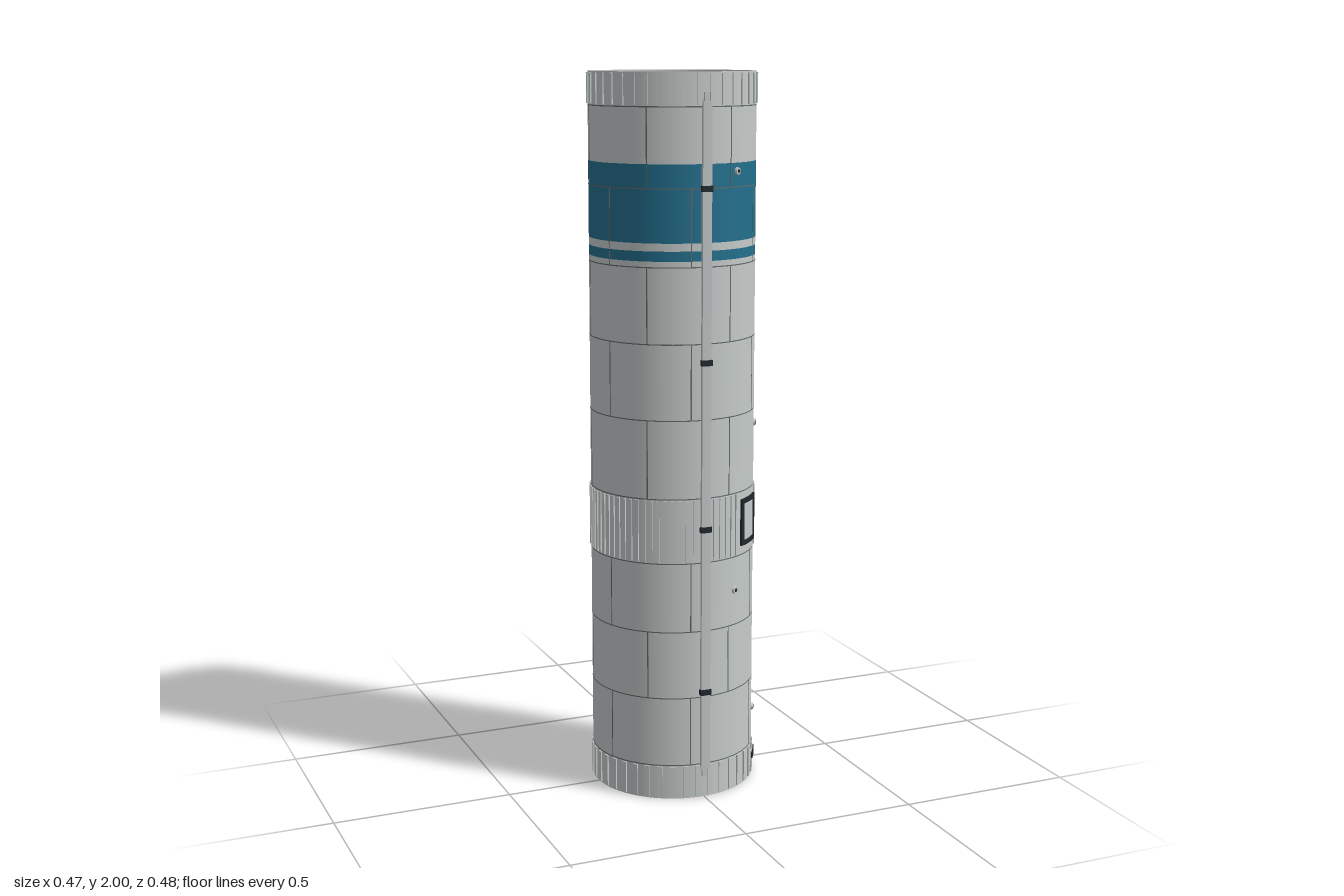
import * as THREE from 'three';
import { mergeGeometries } from 'three/addons/utils/BufferGeometryUtils.js';

const R = 0.229, INNER = 0.222, TANK = 0.2155, SEG = 96;

function material(name, color, side = THREE.FrontSide) {
  const m = new THREE.MeshStandardMaterial({ color, side });
  m.name = name;
  return m;
}

// Surface of revolution through [radius, height] points
function turned(points, seg = SEG) {
  return new THREE.LatheGeometry(points.map(([x, y]) => new THREE.Vector2(x, y)), seg);
}

// Box wrapped round the hull: angle in degrees from the front towards +x
function wrapped(deg, width, y0, y1, r0, r1, segs = 1) {
  const g = new THREE.BoxGeometry(width, y1 - y0, r1 - r0, segs, 1, 1);
  const p = g.attributes.position;
  for (let i = 0; i < p.count; i++) {
    const a = THREE.MathUtils.degToRad(deg) + p.getX(i) / R;
    const r = (r0 + r1) / 2 + p.getZ(i);
    p.setXYZ(i, Math.sin(a) * r, (y0 + y1) / 2 + p.getY(i), Math.cos(a) * r);
  }
  g.computeVertexNormals();
  return g;
}

export function createModel() {
  const model = new THREE.Group();
  model.name = 'rocketStage';
  const body = new THREE.Group();
  body.name = 'stageBody';
  body.position.z = -0.006;
  model.add(body);

  const grey = material('hullGrey', 0xc6cccb);
  const blue = material('bandBlue', 0x23708e);
  const seamGrey = material('seamGrey', 0x646b6c);
  const dark = material('fittingDark', 0x20272d);
  const pale = material('conduitGrey', 0xc0c5c5);

  const add = (name, geometry, mat) => {
    const mesh = new THREE.Mesh(geometry, mat);
    mesh.name = name;
    body.add(mesh);
    return mesh;
  };

  // Outer hull in painted rings
  const paint = [
    [0, 1.507, grey], [1.507, 1.534, blue], [1.534, 1.555, grey],
    [1.555, 1.762, blue], [1.762, 2, grey],
  ];
  for (const [y0, y1, mat] of paint) {
    add(mat === blue ? 'blueBand' : 'hullRing', turned([[R, y0], [R, y1]]), mat);
  }

  // Inner wall and the two end rims
  add('innerWall', turned([[INNER, 2], [INNER, 0]]), grey);
  add('topRim', turned([[R, 2], [INNER, 2]]), grey);
  add('bottomRim', turned([[INNER, 0], [R, 0]]), grey);

  // Propellant tank with a dome at both ends
  const domeTop = 1.98, domeHeight = 0.14;
  const dome = [];
  for (let i = 0; i <= 20; i++) {
    const a = (i / 20) * Math.PI / 2;
    dome.push([TANK * Math.cos(a), domeTop - domeHeight + domeHeight * Math.sin(a)]);
  }
  const bottomDome = dome.map(([r, y]) => [r, 2 - y]).reverse();
  add('tank', turned([...bottomDome, ...dome]), grey);
  for (const top of [true, false]) {
    const cap = add('domeCap', new THREE.CylinderGeometry(0.034, 0.034, 0.014, 40), grey);
    cap.position.y = top ? 1.982 : 0.018;
    const ringY = domeTop - domeHeight * (1 - Math.sqrt(1 - (0.133 / TANK) ** 2));
    const ring = add('domeSeam', new THREE.TorusGeometry(0.133, 0.001, 6, 72), seamGrey);
    ring.rotation.x = Math.PI / 2;
    ring.position.y = top ? ringY : 2 - ringY;
  }

  // Horizontal seams between hull courses
  const levels = [0.098, 0.294, 0.485, 0.68, 0.861, 1.078, 1.285, 1.491, 1.698, 1.91];
  const seams = levels.map((y) => turned([[R + 0.0005, y - 0.0015], [R + 0.0005, y + 0.0015]]));
  add('ringSeams', mergeGeometries(seams), seamGrey);

  // Staggered vertical seams, six to a course
  const uprights = [];
  levels.slice(0, -1).forEach((y, i) => {
    if (y === 0.68) return;
    const start = [1, 0, 1, 0, 0, 1, 0, 1, 0][i] ? 50 : 20;
    for (let k = 0; k < 6; k++) {
      uprights.push(wrapped(start + k * 60, 0.003, y, levels[i + 1], R - 0.002, R + 0.0006));
    }
  });
  add('panelSeams', mergeGeometries(uprights), seamGrey);

  // Stiffening ribs on the end skirts and the middle band
  const ribs = (name, count, width, y0, y1, skip) => {
    const list = [];
    for (let k = 0; k < count; k++) {
      const deg = ((k + 0.5) / count) * 360;
      if (!skip || Math.abs(deg - 45) > 14) {
        list.push(wrapped(deg, width, y0, y1, R - 0.002, R + 0.004));
      }
    }
    add(name, mergeGeometries(list), grey);
  };
  ribs('bottomSkirtRibs', 40, 0.014, 0.004, 0.094);
  ribs('middleRibs', 72, 0.009, 0.684, 0.857, true);
  ribs('topSkirtRibs', 40, 0.014, 1.914, 1.996);

  // Access hatch with a dark frame
  const half = THREE.MathUtils.radToDeg(0.043 / R);
  add('hatchPanel', wrapped(45, 0.08, 0.715, 0.83, R - 0.002, R + 0.003, 8), grey);
  add('hatchFrame', mergeGeometries([
    wrapped(45 - half, 0.013, 0.706, 0.838, R - 0.002, R + 0.006),
    wrapped(45 + half, 0.013, 0.706, 0.838, R - 0.002, R + 0.006),
    wrapped(45, 0.086, 0.706, 0.719, R - 0.002, R + 0.006, 8),
    wrapped(45, 0.086, 0.825, 0.838, R - 0.002, R + 0.006, 8),
  ]), dark);

  // Cable conduit up the front, with narrowed ends and clamps
  add('conduit', mergeGeometries([
    wrapped(0, 0.025, 0.085, 1.925, R - 0.003, R + 0.011, 2),
    wrapped(0, 0.015, 0.062, 1.948, R - 0.003, R + 0.007, 2),
  ]), pale);
  const clamps = [0.31, 0.775, 1.235, 1.698].map((y) =>
    wrapped(0, 0.03, y - 0.008, y + 0.008, R - 0.002, R + 0.0135, 2));
  add('conduitClamps', mergeGeometries(clamps), dark);

  // Small vent ports: pale collar with a dark centre
  for (const [deg, y] of [[26, 1.74], [62, 1.035], [26, 0.585], [62, 0.197]]) {
    const port = new THREE.Group();
    port.name = 'ventPort';
    const collar = new THREE.Mesh(new THREE.CylinderGeometry(0.009, 0.011, 0.008, 16), pale);
    collar.name = 'ventCollar';
    const core = new THREE.Mesh(new THREE.CylinderGeometry(0.005, 0.005, 0.01, 12), dark);
    core.name = 'ventCore';
    for (const part of [collar, core]) {
      part.rotation.x = Math.PI / 2;
      part.position.set(0, y, R + 0.002);
      port.add(part);
    }
    port.rotation.y = THREE.MathUtils.degToRad(deg);
    body.add(port);
  }

  // Row of three connector sockets near the base
  const sockets = [55.5, 62, 68.5].map((deg) =>
    wrapped(deg, 0.016, 0.051, 0.067, R - 0.002, R + 0.009));
  add('connectorSockets', mergeGeometries(sockets), dark);
  add('connectorPlate', wrapped(62, 0.08, 0.043, 0.075, R - 0.002, R + 0.005, 8), pale);

  return model;
}
